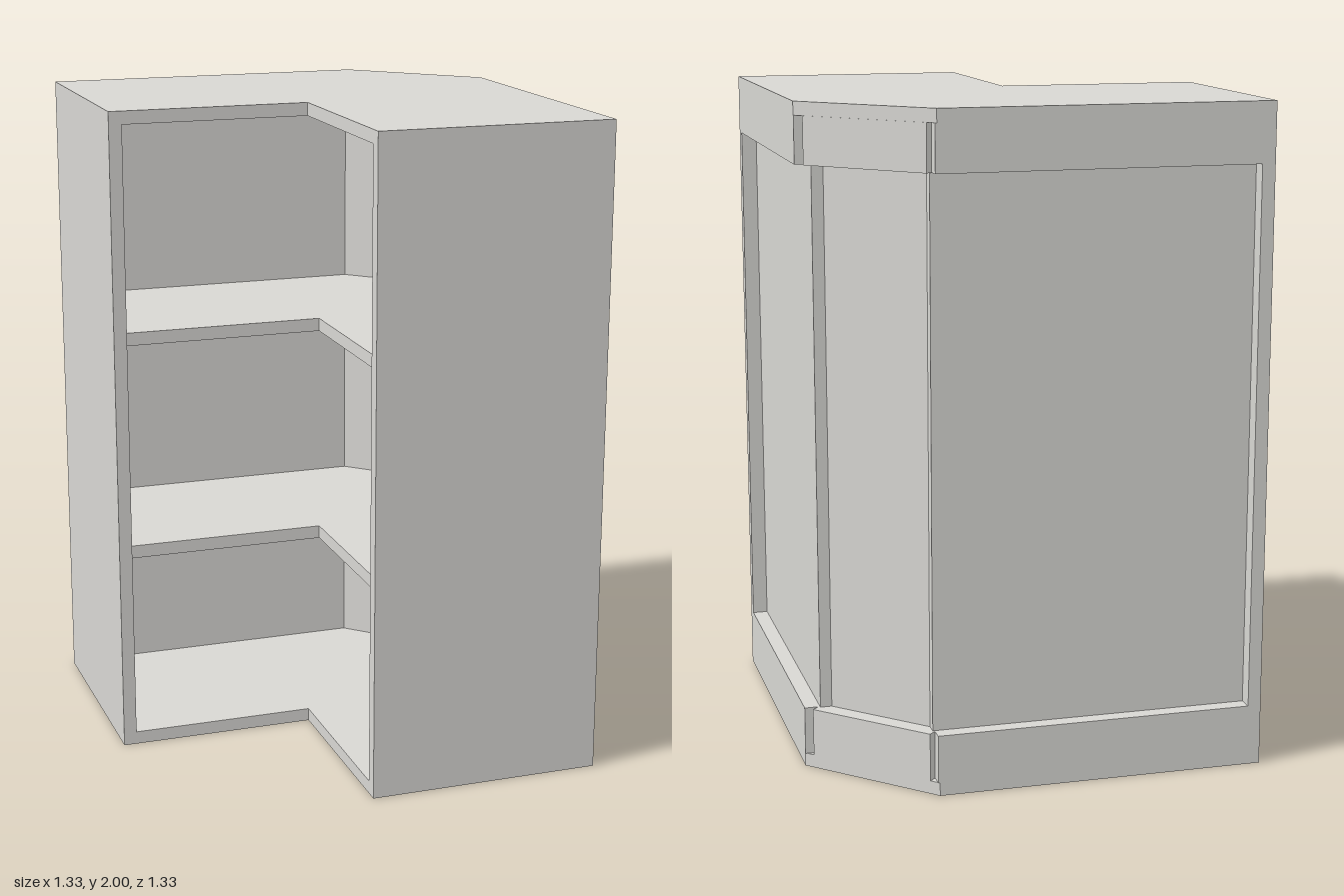
import * as THREE from 'three';

export function createModel() {
  const model = new THREE.Group();
  model.name = 'cornerCabinet';
  const paint = new THREE.MeshStandardMaterial({ color: 0xd8d7d3 });
  paint.name = 'pale grey';

  // Upright slab from a floor plan of [x, z] points, between heights y0 and y1
  function slab(name, plan, y0, y1) {
    const shape = new THREE.Shape(plan.map(([x, z]) => new THREE.Vector2(x, -z)));
    const geometry = new THREE.ExtrudeGeometry(shape, { depth: y1 - y0, bevelEnabled: false });
    geometry.rotateX(-Math.PI / 2).translate(0, y0, 0);
    const mesh = new THREE.Mesh(geometry, paint);
    mesh.name = name;
    model.add(mesh);
  }
  const rect = (x0, z0, x1, z1) => [[x0, z0], [x1, z0], [x1, z1], [x0, z1]];

  // The two wings mirror each other across the diagonal
  const swap = (plan) => plan.map(([x, z]) => [-z, -x]);
  function bothWings(name, plan, y0, y1) {
    slab(name + 'Back', plan, y0, y1);
    slab(name + 'Side', swap(plan), y0, y1);
  }

  const T = 0.04;       // board thickness
  const H = 2;
  const E = 0.667;      // outer half width
  const N = 0.055;      // inner corner of the L

  // L-shaped top and base with one cut corner
  const outline = [[-E, -E], [0.33, -E], [E, -0.33], [E, E], [-N, E], [-N, N], [-E, N]];
  slab('base', outline, 0, T);
  slab('top', outline, H - T, H);

  // End walls of the two wings
  bothWings('endWall', rect(-E, -E, -E + T, N), T, H - T);

  // Recessed panels
  bothWings('panel', rect(-E + T, -0.62, 0.34, -0.583), T, H - T);

  // Recessed panel across the cut corner, tucked behind the wing panels
  slab('cornerPanel', [[0.305, -0.62], [0.62, -0.305], [0.583, -0.29], [0.29, -0.583]], T, H - T);

  // Plinth and cornice bands
  for (const [name, y0, y1] of [['plinth', T, 0.185], ['cornice', 1.82, H - T]]) {
    bothWings(name, rect(-E + T, -E, 0.335, -0.62), y0, y1);
    slab(name + 'Corner', [[0.354, -0.645], [0.645, -0.354], [0.605, -0.314], [0.314, -0.605]], y0, y1);
  }

  // L-shaped shelves set back from the open fronts
  const a = E - T, b = 0.583;
  const shelf = [[-a, -b], [0.34, -b], [b, -0.34], [b, a], [0, a], [0, 0], [-a, 0]];
  [0.6, 1.28].forEach((y, i) => slab('shelf' + (i + 1), shelf, y, y + T));

  return model;
}
